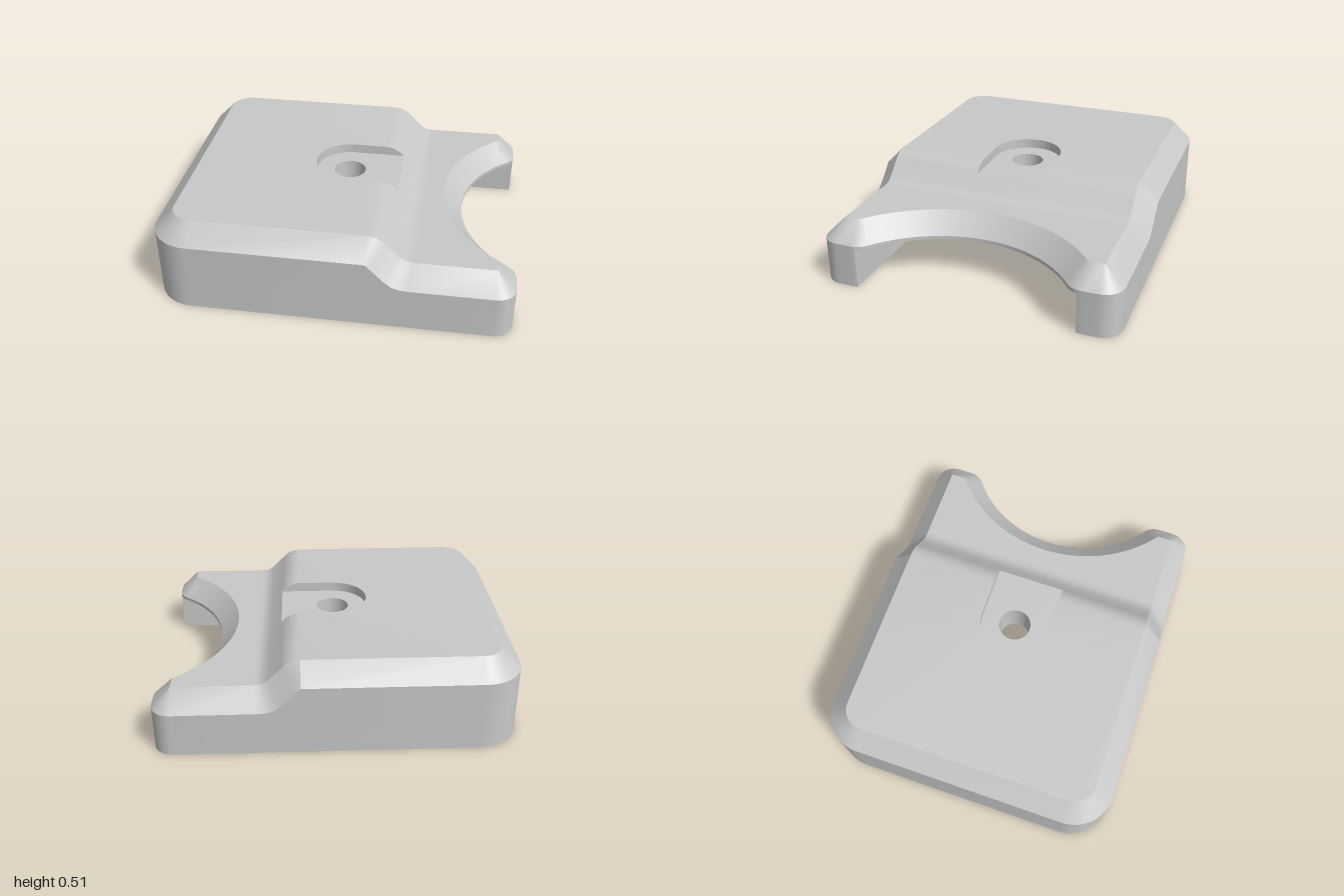
import * as THREE from 'three';
import { toCreasedNormals } from 'three/addons/utils/BufferGeometryUtils.js';

const PI = Math.PI;
const CUT = 0.625;            // half width of the underside cavity
const CEILING = 0.23;         // cavity ceiling height
const FLOOR = 0.455;          // pocket floor height
const POCKET_END = 0.305;     // where the pocket runs out on the slope

// The step across the deck: [top x, top y, chamfer-foot x, chamfer-foot y]
const STEPS = [
  [0.2, 0.51, 0.2, 0.4], [0.24, 0.502, 0.205, 0.395], [0.28, 0.48, 0.215, 0.385],
  [POCKET_END, FLOOR, 0.24, 0.36], [0.37, 0.39, 0.305, 0.296], [0.4, 0.369, 0.345, 0.265],
  [0.425, 0.361, 0.39, 0.253], [0.45, 0.36, 0.44, 0.25],
];

function arc(cx, cz, r, a0, a1, n) {
  return Array.from({ length: n + 1 }, (_, i) => {
    const a = a0 + (a1 - a0) * i / n;
    return [cx + r * Math.cos(a), cz + r * Math.sin(a)];
  });
}

// Outline with matching foot points (o) and inset top points (t)
function makeLoop() {
  const half = [];
  const addArc = (cx, cz, ro, rt, a0, a1, n, yo, yt) => {
    const o = arc(cx, cz, ro, a0, a1, n), t = arc(cx, cz, rt, a0, a1, n);
    o.forEach((p, i) => half.push({ o: [p[0], yo, p[1]], t: [t[i][0], yt, t[i][1]] }));
  };
  const tipZ = 0.647, aTip = Math.atan2(tipZ, 0.495), aCut = Math.asin((CUT - tipZ) / 0.11);
  addArc(1.385, 0, 0.705, 0.815, PI, PI - aTip, 24, 0.25, 0.36);      // bite
  addArc(0.89, tipZ, 0.11, 0, -aTip, aCut, 6, 0.25, 0.36);            // tip rounding
  addArc(0.89, tipZ, 0.11, 0, aCut, 0, 3, 0.25, 0.36);
  addArc(0.89, 0.735, 0.11, 0, 0, PI / 2, 8, 0.25, 0.36);             // small corner
  for (const [xt, yt, xo, yo] of [...STEPS].reverse()) half.push({ o: [xo, yo, 0.845], t: [xt, yt, 0.735] });
  addArc(-0.77, 0.615, 0.23, 0.12, PI / 2, PI, 12, 0.4, 0.51);        // large corner
  const flip = ([x, y, z]) => [x, y, -z];
  return [...half, ...half.map((e) => ({ o: flip(e.o), t: flip(e.t) })).reverse()];
}

// Collects triangles for one part
class Part {
  constructor() { this.pos = []; }
  tri(a, b, c) {
    const v = [a, b, c].map((p) => new THREE.Vector3(...p));
    const n = v[1].clone().sub(v[0]).cross(v[2].clone().sub(v[0]));
    if (n.length() > 1e-9) this.pos.push(...a, ...b, ...c);
  }
  // Band between two paths; faces outward when the path turns from +x to +z
  band(low, high, closed = false) {
    const n = low.length;
    for (let i = 0; i < (closed ? n : n - 1); i++) {
      const j = (i + 1) % n;
      this.tri(low[j], low[i], high[i]);
      this.tri(low[j], high[i], high[j]);
    }
  }
  // Level face from [x, z] points, facing up or down
  cap(points, holes, y, up) {
    const clean = (list) => list.filter((p, i) => {
      const q = list[(i + 1) % list.length];
      return Math.hypot(p[0] - q[0], p[1] - q[1]) > 1e-5;
    }).map((p) => new THREE.Vector2(p[0], p[1]));
    const contour = clean(points), inner = holes.map(clean);
    const all = [contour, ...inner].flat();
    for (const [a, b, c] of THREE.ShapeUtils.triangulateShape(contour, inner)) {
      const [A, B, C] = [all[a], all[b], all[c]];
      const facesDown = (B.x - A.x) * (C.y - A.y) - (B.y - A.y) * (C.x - A.x) > 0;
      const P = [A, B, C].map((p) => [p.x, y, p.y]);
      if (facesDown === up) P.reverse();
      this.tri(...P);
    }
  }
  mesh(name, material) {
    const g = new THREE.BufferGeometry();
    g.setAttribute('position', new THREE.Float32BufferAttribute(this.pos, 3));
    const m = new THREE.Mesh(toCreasedNormals(g, 0.6), material);
    m.name = name;
    return m;
  }
}

export function createModel() {
  const group = new THREE.Group();
  group.name = 'steppedCoverBlock';
  const grey = new THREE.MeshStandardMaterial({ color: 0xc8c8c8 });
  grey.name = 'plain grey';
  const add = (name, build) => {
    const part = new Part();
    build(part);
    group.add(part.mesh(name, grey));
  };

  const loop = makeLoop();
  const flat = (p) => [p[0], p[2]];
  const lift = (path, y) => path.map(([x, z]) => [x, y, z]);
  const inBite = (e) => e.o[0] > 0.5 && Math.abs(e.o[2]) <= CUT + 1e-6;
  const bite = loop.filter(inBite).map((e) => flat(e.o)).sort((a, b) => b[1] - a[1]);
  const tipX = bite[0][0];
  const rim = [[tipX, CUT], ...loop.filter((e) => !inBite(e)).map((e) => flat(e.o)), [tipX, -CUT]];

  // Underside cavity, pocket and hole outlines
  const cavity = [[tipX, -CUT], ...arc(-0.755, -0.495, 0.13, -PI / 2, -PI, 8),
    ...arc(-0.755, 0.495, 0.13, PI, PI / 2, 8), [tipX, CUT]];
  const pocketArc = arc(0, 0, 0.2, -PI / 2, -PI * 1.5, 32);
  const circle = (x, z, r) => arc(x, z, r, 0, -2 * PI, 40);
  const screwHole = circle(0, 0, 0.093);
  const blindHoles = [-1, 1].map((s) => circle(-0.735, s * 0.455, 0.14));

  add('outerWalls', (p) => loop.forEach((e, i) => {
    const f = loop[(i + 1) % loop.length];
    const y = inBite(e) && inBite(f) ? CEILING : 0;
    p.band([e, f].map(({ o }) => [o[0], y, o[2]]), [e.o, f.o]);
  }));

  add('chamfer', (p) => p.band(loop.map((e) => e.o), loop.map((e) => e.t), true));

  add('topDeck', (p) => {
    const tops = loop.map((e) => flat(e.t));
    p.cap([...tops.filter((q) => q[0] <= 0.2 + 1e-6), [0.2, -0.2], ...pocketArc, [0.2, 0.2]], [], 0.51, true);
    p.cap(tops.filter((q) => q[0] >= 0.45 - 1e-6), [], 0.36, true);
    // Sloped step, left open where the pocket runs out
    for (let i = 0; i < STEPS.length - 1; i++) {
      const [x0, y0] = STEPS[i], [x1, y1] = STEPS[i + 1];
      const gap = x1 <= POCKET_END ? 0.2 : 0;
      for (const [a, b] of [[-0.735, -gap], [gap, 0.735]])
        p.band([[x1, y1, b], [x0, y0, b]], [[x1, y1, a], [x0, y0, a]]);
    }
  });

  add('topPocket', (p) => {
    const side = STEPS.filter((s) => s[0] <= POCKET_END);
    const edge = [...[...side].reverse().map(([x, y]) => [x, y, -0.2]),
      ...lift(pocketArc, 0.51), ...side.map(([x, y]) => [x, y, 0.2])];
    p.band(edge.map(([x, , z]) => [x, FLOOR, z]), edge);
    p.cap([[POCKET_END, -0.2], ...pocketArc, [POCKET_END, 0.2]], [screwHole], FLOOR, true);
  });

  add('screwHole', (p) => p.band(lift(screwHole, CEILING), lift(screwHole, FLOOR)));

  add('undersideCavity', (p) => {
    p.band(lift(cavity, 0), lift(cavity, CEILING));
    p.cap([...cavity, ...bite], [screwHole, ...blindHoles], CEILING, false);
  });

  add('blindHoles', (p) => blindHoles.forEach((h) => {
    p.band(lift(h, CEILING), lift(h, 0.4));
    p.cap(h, [], 0.4, false);
  }));

  add('baseRim', (p) => p.cap([...rim, ...cavity], [], 0, false));

  return group;
}
